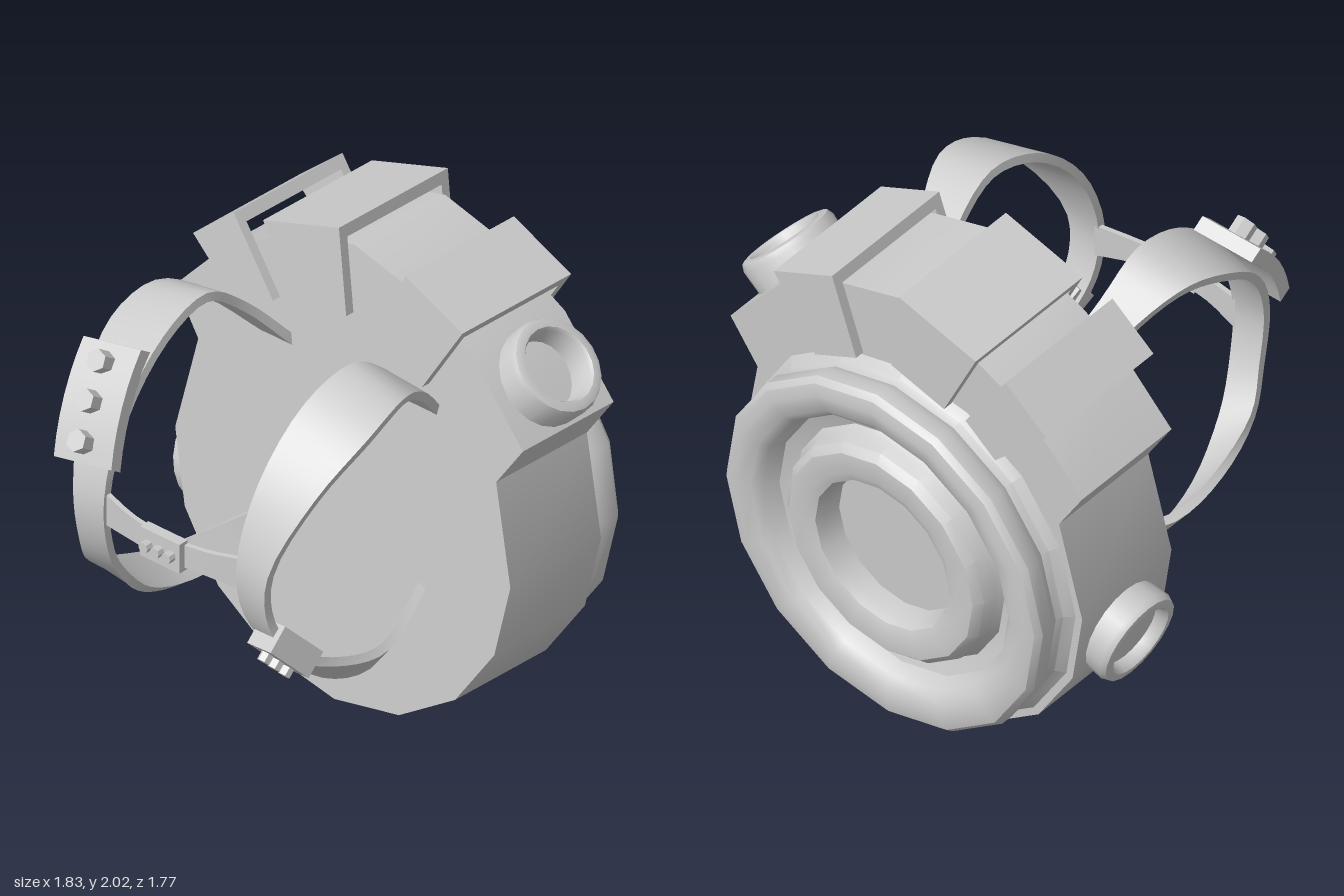
import * as THREE from 'three';
import { toCreasedNormals } from 'three/addons/utils/BufferGeometryUtils.js';

const material = new THREE.MeshStandardMaterial({ color: 0xcccccc });
const V = (a) => new THREE.Vector3(...a);

function add(parent, name, geometry, crease = 0.6) {
  const mesh = new THREE.Mesh(toCreasedNormals(geometry, crease), material);
  mesh.name = name;
  parent.add(mesh);
  return mesh;
}

function lathe(profile, sides) {
  return new THREE.LatheGeometry(profile.map(([r, y]) => new THREE.Vector2(r, y)), sides);
}

// Band with thickness, swept between two edge curves; side = -1 mirrors it in x
function band(edgeA, edgeB, thickness, steps, side = 1) {
  const a = new THREE.CatmullRomCurve3(edgeA.map(V));
  const b = new THREE.CatmullRomCurve3(edgeB.map(V));
  const pos = [], index = [];
  for (let i = 0; i <= steps; i++) {
    const t = i / steps;
    const p = a.getPoint(t), q = b.getPoint(t);
    const tangent = a.getTangent(t).add(b.getTangent(t));
    const n = tangent.cross(q.clone().sub(p)).normalize().multiplyScalar(thickness);
    for (const c of [p, q, q.clone().sub(n), p.clone().sub(n)]) pos.push(c.x * side, c.y, c.z);
    if (i === steps) break;
    for (let k = 0; k < 4; k++) {
      const k1 = (k + 1) % 4, o = i * 4, e = o + 4;
      if (side > 0) index.push(o + k, e + k, e + k1, o + k, e + k1, o + k1);
      else index.push(o + k, e + k1, e + k, o + k, o + k1, e + k1);
    }
  }
  const g = new THREE.BufferGeometry();
  g.setAttribute('position', new THREE.Float32BufferAttribute(pos, 3));
  g.setIndex(index);
  return g;
}

// U-shaped clamp, narrower towards the ends of its legs; top face at y = 0
function clampGeometry(top, bottom, height, depth) {
  const d = depth / 2, t = 0.04;
  const shape = new THREE.Shape([
    [-d, -height], [-d + t, -height], [-d + t, -0.05], [d - t, -0.05],
    [d - t, -height], [d, -height], [d, 0], [-d, 0],
  ].map(([x, y]) => new THREE.Vector2(x, y)));
  const g = new THREE.ExtrudeGeometry(shape, { depth: top, bevelEnabled: false });
  g.translate(0, 0, -top / 2).rotateY(Math.PI / 2);
  const p = g.attributes.position;
  for (let i = 0; i < p.count; i++) {
    p.setX(i, p.getX(i) * (1 + (1 - bottom / top) * p.getY(i) / height));
  }
  return g;
}

// Plate facing +z with a column or row of studs, optionally bent backwards
function buckle(name, [w, h, d], studs, radius, sides, bend = 0) {
  const group = new THREE.Group();
  group.name = name;
  const g = new THREE.BoxGeometry(w, h, d, 1, 6, 1);
  const p = g.attributes.position;
  for (let i = 0; i < p.count; i++) p.setZ(i, p.getZ(i) - bend * p.getY(i) ** 2);
  add(group, 'bucklePlate', g);
  for (const [x, y] of studs) {
    const stud = add(group, 'stud', new THREE.CylinderGeometry(radius, radius, radius * 1.8, sides).rotateX(Math.PI / 2), 0.3);
    stud.position.set(x, y, d / 2 + radius * 0.5 - bend * y * y);
  }
  return group;
}

export function createModel() {
  const model = new THREE.Group();
  model.name = 'strappedDrumPack';

  // Drum and everything fixed to it lean back slightly
  const drum = new THREE.Group();
  drum.name = 'drum';
  drum.position.z = -0.1;
  drum.rotation.x = -0.059;
  model.add(drum);

  // Body: round below, with shoulders and a crown above
  const cy = 0.84;
  const half = [];
  for (let i = 0; i <= 4; i++) {
    const a = i * Math.PI / 8;
    half.push([0.81 * Math.sin(a), cy - 0.81 * Math.cos(a)]);
  }
  half.push([0.72, 1.25], [0.84, 1.43], [0.59, 1.71], [0.27, 1.88], [0, 1.95]);
  const outline = [...half, ...half.slice(1, -1).reverse().map(([x, y]) => [-x, y])];
  const bodyShape = new THREE.Shape(outline.map(([x, y]) => new THREE.Vector2(x, y)));
  add(drum, 'body', new THREE.ExtrudeGeometry(bodyShape, { depth: 0.5, bevelEnabled: false }).translate(0, 0, -0.5));

  // Back disc with rolled rim, groove, raised ring and central recess
  const disc = add(drum, 'backDisc', lathe([
    [0.79, 0.49], [0.745, 0.53], [0.735, 0.56], [0.755, 0.6], [0.755, 0.655], [0.735, 0.68], [0.69, 0.69],
    [0.62, 0.68], [0.585, 0.65], [0.56, 0.59], [0.5, 0.57], [0.48, 0.6], [0.47, 0.65],
    [0.44, 0.68], [0.36, 0.685], [0.32, 0.67], [0.305, 0.63], [0.3, 0.56], [0, 0.56],
  ], 16).rotateX(-Math.PI / 2));
  disc.position.y = cy;

  // Hollow ports: outer end centre, outward angle, length, recess depth
  for (const [name, x, y, angle, length, recess] of [
    ['shoulderPort', 0.785, 1.67, 0.82, 0.26, 0.13],
    ['sidePort', -0.865, 0.6, Math.PI + 0.28, 0.2, 0.05],
  ]) {
    const port = add(drum, name, lathe([
      [0.185, -length], [0.195, -0.03], [0.185, -0.005], [0.17, 0], [0.15, 0],
      [0.14, -0.015], [0.135, -recess], [0, -recess],
    ], 20), 0.7);
    port.position.set(x, y, -0.25);
    port.rotation.z = angle - Math.PI / 2;
  }

  // Clamps over the crown
  for (const [name, x, y, angle, top, bottom] of [
    ['rightClamp', -0.64, 1.79, 0.72, 0.25, 0.18],
    ['middleClamp', -0.225, 1.96, 0.32, 0.38, 0.26],
    ['leftClamp', 0.42, 1.89, -0.41, 0.31, 0.22],
  ]) {
    const clamp = add(drum, name, clampGeometry(top, bottom, 0.35, 0.6));
    clamp.position.set(x, y, -0.26);
    clamp.rotation.z = angle;
  }

  // Pair of twisted shoulder straps
  const inner = [
    [0.27, 1.42, -0.22], [0.34, 1.66, 0], [0.35, 1.79, 0.2], [0.34, 1.73, 0.45], [0.33, 1.5, 0.69], [0.32, 1.2, 0.8],
    [0.33, 0.97, 0.77], [0.38, 0.76, 0.64], [0.43, 0.58, 0.45], [0.44, 0.5, 0.2], [0.35, 0.57, -0.16],
  ];
  const outer = [
    [0.42, 1.42, -0.22], [0.52, 1.64, 0], [0.6, 1.74, 0.2], [0.62, 1.68, 0.42], [0.56, 1.5, 0.64], [0.47, 1.2, 0.8],
    [0.46, 0.97, 0.78], [0.5, 0.8, 0.68], [0.54, 0.68, 0.45], [0.53, 0.62, 0.2], [0.4, 0.67, -0.16],
  ];
  add(model, 'leftStrap', band(inner, outer, 0.035, 40, 1));
  add(model, 'rightStrap', band(inner, outer, 0.035, 40, -1));

  // Chest strap joining the two
  const chest = (y0, y1) => [[-0.34, y0, 0.78], [-0.17, y1, 0.82], [0, y1, 0.835], [0.17, y1, 0.82], [0.34, y0, 0.78]];
  add(model, 'chestStrap', band(chest(1.08, 1.1), chest(1.215, 1.2), 0.02, 12));

  // Buckles
  const chestBuckle = buckle('chestBuckle', [0.19, 0.125, 0.045], [[-0.055, 0], [0, 0], [0.055, 0]], 0.022, 8);
  chestBuckle.position.set(0, 1.15, 0.835);
  model.add(chestBuckle);

  const largeBuckle = buckle('largeStrapBuckle', [0.26, 0.45, 0.06], [[0, 0.15], [0, 0], [0, -0.15]], 0.043, 6, 0.6);
  largeBuckle.position.set(-0.44, 1.52, 0.7);
  largeBuckle.rotation.set(-0.6, 0, 0.17);
  model.add(largeBuckle);

  const smallBuckle = buckle('smallStrapBuckle', [0.14, 0.22, 0.11], [[0, 0.06], [0, 0], [0, -0.06]], 0.025, 6);
  smallBuckle.position.set(0.455, 0.84, 0.685);
  smallBuckle.rotation.set(0.75, 0, 0.26);
  model.add(smallBuckle);

  return model;
}
